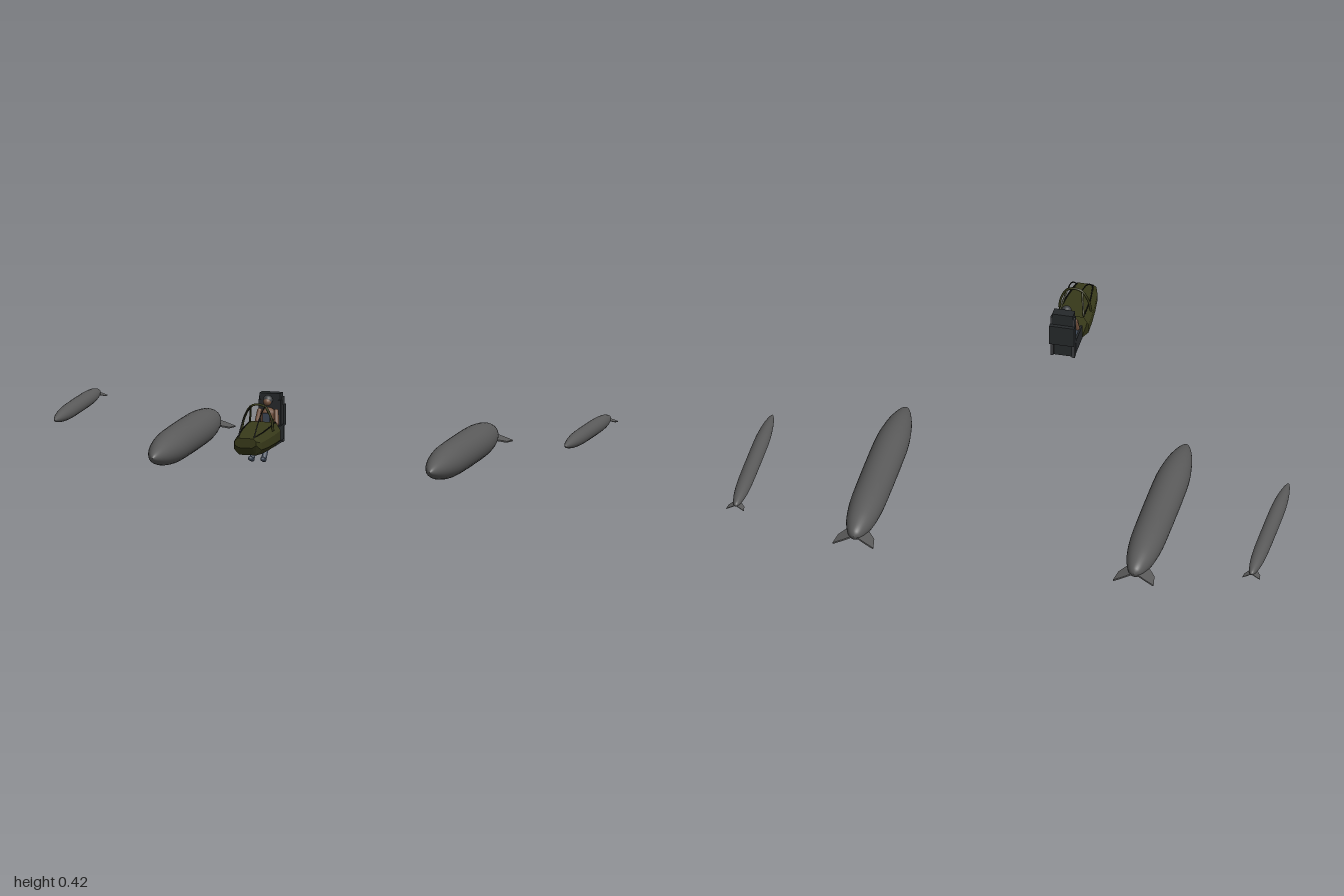
import * as THREE from 'three';

const mat = (name, color, side = THREE.FrontSide) => {
  const m = new THREE.MeshStandardMaterial({ color, side });
  m.name = name;
  return m;
};

export function createModel() {
  const steel = mat('tankGrey', 0x5a5a5a);
  const olive = mat('oliveHull', 0x383a1a, THREE.DoubleSide);
  const black = mat('seatBlack', 0x26292b);
  const frameBlack = mat('frameBlack', 0x141512);
  const cloth = mat('blueGreyCloth', 0x3c4654);
  const brown = mat('brownLeather', 0x70503c);
  const helmet = mat('helmetGrey', 0x3a3c3e);

  // Everything is laid out along +z, then the whole set is turned to its heading
  const model = new THREE.Group();
  model.name = 'cockpitAndTanks';
  const set = new THREE.Group();
  set.name = 'headingGroup';
  set.rotation.y = -0.823;
  set.position.set(0.005, 0, 0.005);
  model.add(set);

  const add = (name, geo, material, parent, x = 0, y = 0, z = 0) => {
    const m = new THREE.Mesh(geo, material);
    m.name = name;
    m.position.set(x, y, z);
    parent.add(m);
    return m;
  };
  const V = (x, y, z) => new THREE.Vector3(x, y, z);
  const box = (name, w, h, d, material, parent, x, y, z) =>
    add(name, new THREE.BoxGeometry(w, h, d), material, parent, x, y, z);

  // Rounded limb between two points
  const limb = (name, a, b, r, material, parent) => {
    const dir = b.clone().sub(a);
    const m = add(name, new THREE.CapsuleGeometry(r, dir.length(), 4, 10), material, parent);
    m.position.copy(a).add(b).multiplyScalar(0.5);
    m.quaternion.setFromUnitVectors(V(0, 1, 0), dir.normalize());
    return m;
  };
  // Bent bar through points
  const bar = (name, pts, r, material, parent, curved = true) => {
    const path = curved ? new THREE.CatmullRomCurve3(pts) : new THREE.CurvePath();
    if (!curved) pts.slice(1).forEach((p, i) => path.add(new THREE.LineCurve3(pts[i], p)));
    return add(name, new THREE.TubeGeometry(path, 24, r, 6), material, parent);
  };

  // Fuel tank: fractions of length from tail to nose against fractions of radius
  const profile = [[0, 0], [0.012, 0.3], [0.05, 0.55], [0.12, 0.8], [0.23, 0.96], [0.36, 1],
    [0.6, 1], [0.74, 0.95], [0.86, 0.74], [0.94, 0.46], [0.985, 0.2], [1, 0]];
  const tank = (name, x, y, radius, tail, nose) => {
    const g = new THREE.Group();
    g.name = name;
    g.position.set(x, y, 0);
    set.add(g);
    const len = nose - tail;
    const curve = new THREE.SplineCurve(profile.map(([t, r]) => new THREE.Vector2(r * radius, tail + t * len)));
    const pts = curve.getPoints(44).map(p => new THREE.Vector2(Math.max(p.x, 0), p.y));
    add('tankBody', new THREE.LatheGeometry(pts, 32).rotateX(Math.PI / 2), steel, g);
    // Drooping swept tail fins
    const k = radius / 0.07;
    for (const s of [-1, 1]) {
      const outline = [[0, 0.13], [0.052, 0.075], [0.08, 0.045], [0.09, -0.012], [0.05, -0.004], [0, 0.01]];
      const shape = new THREE.Shape(outline.map(([a, b]) => new THREE.Vector2(s * a * k, b * k + tail)));
      const geo = new THREE.ExtrudeGeometry(shape, { depth: 0.006 * k, bevelEnabled: false });
      geo.rotateX(Math.PI / 2);
      const fin = add(s > 0 ? 'leftFin' : 'rightFin', geo, steel, g);
      fin.rotation.z = -s * 0.38;
    }
  };
  for (const s of [-1, 1]) {
    const side = s > 0 ? 'left' : 'right';
    tank(side + 'InnerTank', s * 0.565, 0.07, 0.069, -0.307, 0.607);
    tank(side + 'OuterTank', s * 1.04, 0.148, 0.03, -0.314, 0.33);
  }

  // Cockpit hull lofted from sections: z, half width, bottom, top
  const cockpit = new THREE.Group();
  cockpit.name = 'cockpit';
  set.add(cockpit);
  const sections = [[1.278, 0.044, 0.262, 0.3], [1.245, 0.056, 0.228, 0.304], [1.17, 0.064, 0.222, 0.309],
    [1.09, 0.07, 0.222, 0.315], [1.018, 0.072, 0.222, 0.32]];
  const ring = [[0.62, 0], [1, 0.3], [1, 0.68], [0.72, 1], [-0.72, 1], [-1, 0.68], [-1, 0.3], [-0.62, 0]];
  const pos = [], idx = [], n = ring.length;
  for (const [z, w, b, t] of sections)
    for (const [u, v] of ring) pos.push(u * w, b + v * (t - b), z);
  for (let i = 0; i < sections.length - 1; i++)
    for (let j = 0; j < n; j++) {
      const a = i * n + j, b = i * n + (j + 1) % n;
      idx.push(a, b, a + n, b, b + n, a + n);
    }
  for (let j = 1; j < n - 1; j++) idx.push(0, j + 1, j);
  // Orient faces outward
  for (let i = 0; i < idx.length; i += 3) {
    const [a, b, c] = [0, 1, 2].map(k => V(...pos.slice(idx[i + k] * 3, idx[i + k] * 3 + 3)));
    const normal = b.clone().sub(a).cross(c.clone().sub(a));
    const out = a.clone().add(b).add(c).divideScalar(3).sub(V(0, 0.268, 1.15));
    if (normal.dot(out) < 0) [idx[i + 1], idx[i + 2]] = [idx[i + 2], idx[i + 1]];
  }
  let hullGeo = new THREE.BufferGeometry();
  hullGeo.setAttribute('position', new THREE.Float32BufferAttribute(pos, 3));
  hullGeo.setIndex(idx);
  hullGeo = hullGeo.toNonIndexed();
  hullGeo.computeVertexNormals();
  add('hull', hullGeo, olive, cockpit);

  // Windscreen hoop, rails and sill frames
  bar('windscreenHoop', [V(-0.064, 0.3, 1.1), V(-0.056, 0.345, 1.095), V(-0.03, 0.393, 1.09), V(0, 0.402, 1.09),
    V(0.03, 0.393, 1.09), V(0.056, 0.345, 1.095), V(0.064, 0.3, 1.1)], 0.005, olive, cockpit);
  for (const s of [-1, 1]) {
    bar('windscreenRail', [V(s * 0.032, 0.3, 1.268), V(s * 0.032, 0.347, 1.21), V(s * 0.031, 0.38, 1.15),
      V(s * 0.028, 0.394, 1.09)], 0.0025, frameBlack, cockpit);
    bar('sillFrame', [V(s * 0.032, 0.301, 1.27), V(s * 0.047, 0.311, 1.16), V(s * 0.052, 0.321, 1.02)],
      0.0025, frameBlack, cockpit);
    bar('hoopBrace', [V(s * 0.03, 0.392, 1.09), V(s * 0.05, 0.318, 1.03)], 0.004, olive, cockpit, false);
  }

  // Ejection seat
  const seat = new THREE.Group();
  seat.name = 'seat';
  set.add(seat);
  box('backrest', 0.09, 0.17, 0.035, black, seat, 0, 0.305, 0.905);
  box('headrest', 0.084, 0.05, 0.04, black, seat, 0, 0.391, 0.9);
  box('rearPack', 0.1, 0.085, 0.035, black, seat, 0, 0.325, 0.882);
  box('seatPan', 0.09, 0.035, 0.1, black, seat, 0, 0.238, 0.955);
  for (const s of [-1, 1]) {
    box('seatSide', 0.008, 0.06, 0.11, black, seat, s * 0.047, 0.262, 0.95);
    box('seatRail', 0.012, 0.18, 0.02, helmet, seat, s * 0.043, 0.31, 0.89);
  }

  // Seated pilot
  const pilot = new THREE.Group();
  pilot.name = 'pilot';
  set.add(pilot);
  const torso = limb('torso', V(0, 0.28, 0.948), V(0, 0.34, 0.945), 0.025, brown, pilot);
  torso.scale.x = 1.25;
  add('face', new THREE.SphereGeometry(0.016, 16, 12), brown, pilot, 0, 0.388, 0.957);
  add('helmet', new THREE.SphereGeometry(0.02, 16, 12), helmet, pilot, 0, 0.394, 0.948);
  box('harness', 0.03, 0.05, 0.006, cloth, pilot, 0, 0.32, 0.972);
  for (const s of [-1, 1]) {
    limb('upperArm', V(s * 0.034, 0.35, 0.948), V(s * 0.04, 0.305, 0.965), 0.01, brown, pilot);
    limb('forearm', V(s * 0.04, 0.305, 0.965), V(s * 0.025, 0.3, 1.015), 0.008, brown, pilot);
    limb('thigh', V(s * 0.018, 0.265, 0.955), V(s * 0.024, 0.252, 1.035), 0.014, cloth, pilot);
    limb('shin', V(s * 0.024, 0.25, 1.035), V(s * 0.024, 0.19, 1.09), 0.011, cloth, pilot);
    limb('boot', V(s * 0.024, 0.181, 1.088), V(s * 0.025, 0.19, 1.116), 0.009, cloth, pilot);
  }
  return model;
}
